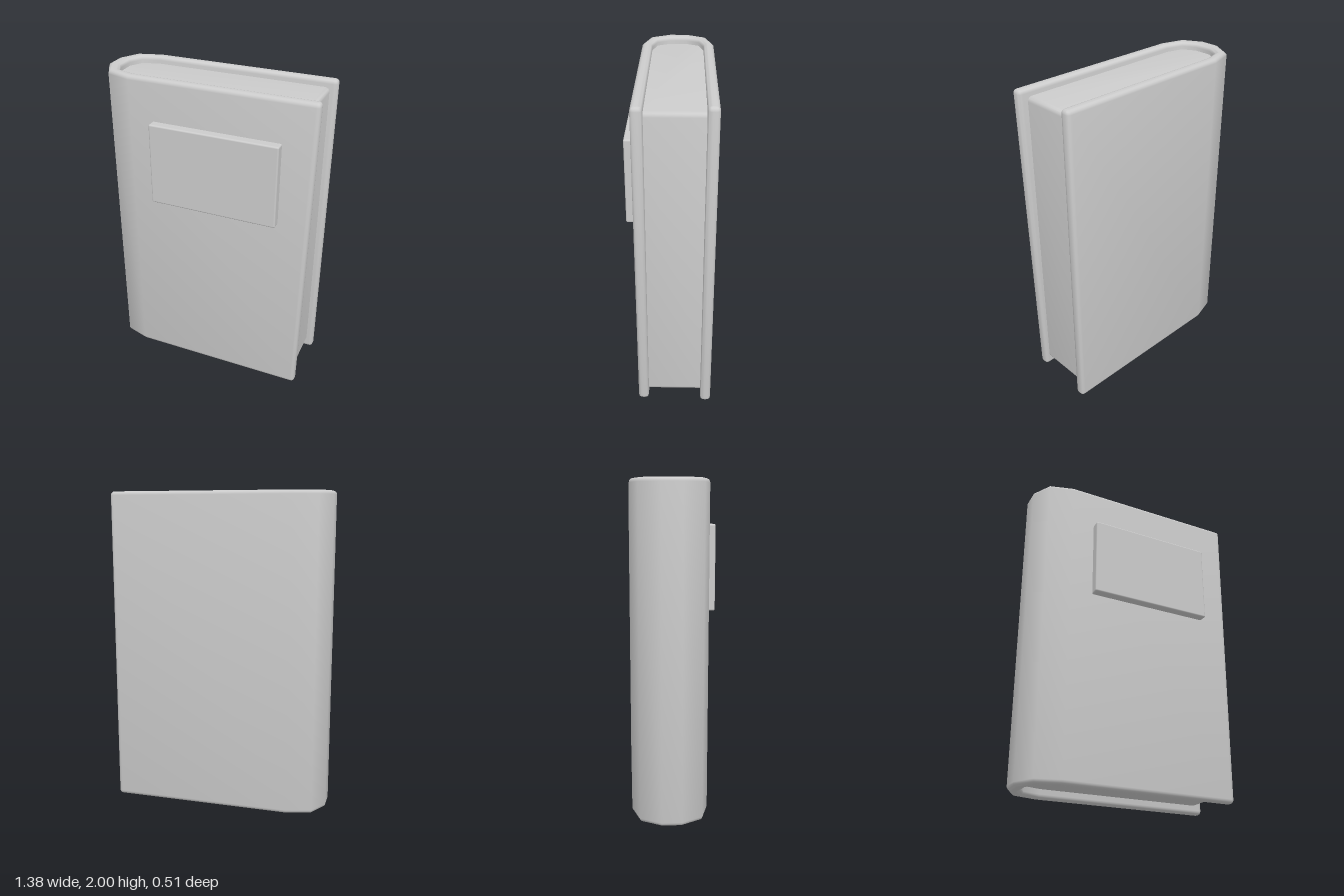
import * as THREE from 'three';
import { toCreasedNormals } from 'three/addons/utils/BufferGeometryUtils.js';
import { RoundedBoxGeometry } from 'three/addons/geometries/RoundedBoxGeometry.js';

const material = new THREE.MeshStandardMaterial({ color: 0xcccccc });

// Faceted spine curves as [x, z], from the back cover round to the front cover
const outerSpine = [[-0.47, -0.26], [-0.625, -0.215], [-0.695, -0.09], [-0.695, 0.03], [-0.625, 0.155], [-0.47, 0.2]];
const innerSpine = [[-0.46, -0.195], [-0.57, -0.165], [-0.615, -0.085], [-0.615, 0.025], [-0.57, 0.105], [-0.46, 0.135]];
const pageSpine = [[-0.46, -0.225], [-0.59, -0.19], [-0.645, -0.09], [-0.645, 0.03], [-0.59, 0.13], [-0.46, 0.165]];

// Extrudes a plan outline upwards from y0 to y1 with rounded rims
function extrudeUp(shape, y0, y1, bevel) {
  const geometry = new THREE.ExtrudeGeometry(shape, {
    depth: y1 - y0 - 2 * bevel,
    bevelThickness: bevel,
    bevelSize: bevel,
    bevelOffset: -bevel,
    bevelSegments: 4,
    curveSegments: 4,
  });
  return geometry.rotateX(-Math.PI / 2).translate(0, y0 + bevel, 0);
}

function addMesh(group, name, geometry) {
  const mesh = new THREE.Mesh(geometry, material);
  mesh.name = name;
  group.add(mesh);
  return mesh;
}

// Rounded free end of one cover board, running from z0 to z1 at x
function boardEnd(shape, x, z0, z1, r) {
  const s = Math.sign(z1 - z0);
  shape.lineTo(x - r, -z0);
  shape.quadraticCurveTo(x, -z0, x, -(z0 + s * r));
  shape.lineTo(x, -(z1 - s * r));
  shape.quadraticCurveTo(x, -z1, x - r, -z1);
}

function coverGeometry() {
  const shape = new THREE.Shape();
  outerSpine.forEach(([x, z], i) => (i ? shape.lineTo(x, -z) : shape.moveTo(x, -z)));
  boardEnd(shape, 0.69, 0.2, 0.135, 0.026);
  [...innerSpine].reverse().forEach(([x, z]) => shape.lineTo(x, -z));
  boardEnd(shape, 0.678, -0.195, -0.26, 0.026);
  shape.closePath();
  const geometry = extrudeUp(shape, 0, 2, 0.024);

  // The front board tapers slightly towards its lower free corner
  const p = geometry.attributes.position;
  for (let i = 0; i < p.count; i++) {
    if (p.getZ(i) < 0.1) continue;
    const t = Math.max(0, (p.getX(i) + 0.46) / 1.15);
    p.setX(i, p.getX(i) - 0.026 * t * (1 - p.getY(i) / 2));
  }
  return toCreasedNormals(geometry, 0.9);
}

// The page sides sink into the cover, so only the fore edge shows its rounding
function pagesGeometry() {
  const shape = new THREE.Shape();
  pageSpine.forEach(([x, z], i) => (i ? shape.lineTo(x, -z) : shape.moveTo(x, -z)));
  shape.lineTo(0.635, -0.165);
  shape.lineTo(0.635, 0.225);
  shape.closePath();
  return toCreasedNormals(extrudeUp(shape, 0.055, 1.955, 0.028), 0.9);
}

export function createModel() {
  const book = new THREE.Group();
  book.name = 'book';
  addMesh(book, 'cover', coverGeometry());
  addMesh(book, 'pages', pagesGeometry());

  // Raised title plate on the front board
  const plate = addMesh(book, 'titlePlate', new RoundedBoxGeometry(0.81, 0.52, 0.075, 3, 0.01));
  plate.position.set(0.085, 1.48, 0.2175);
  return book;
}
